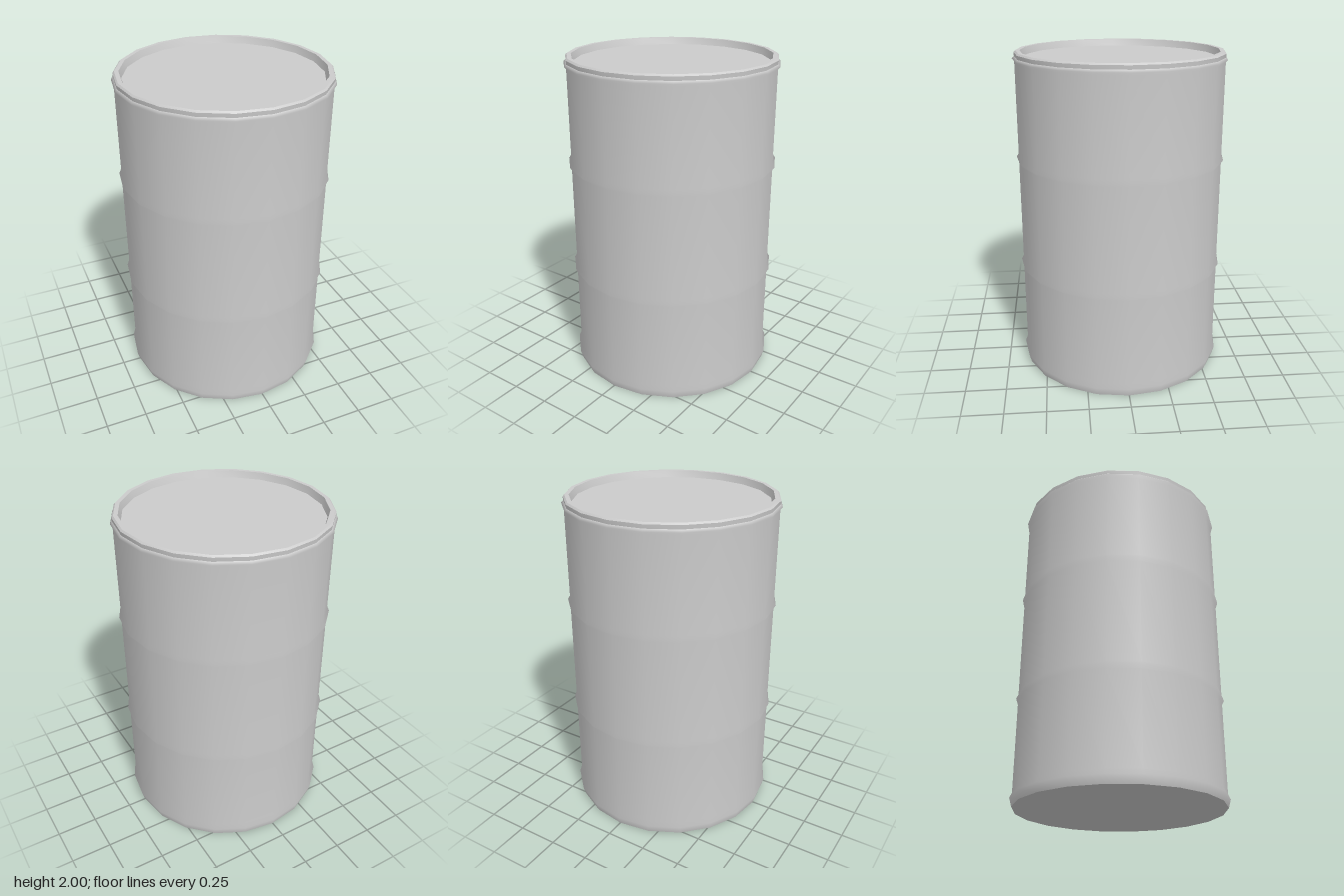
import * as THREE from 'three';
import { toCreasedNormals } from 'three/addons/utils/BufferGeometryUtils.js';

const SIDES = 20;
const RADIUS = 0.633;

const material = new THREE.MeshStandardMaterial({ color: 0xcccccc });

function addMesh(group, name, geometry) {
  const mesh = new THREE.Mesh(geometry, material);
  mesh.name = name;
  group.add(mesh);
  return mesh;
}

function lathe(points) {
  return new THREE.LatheGeometry(points.map(([r, y]) => new THREE.Vector2(r, y)), SIDES);
}

export function createModel() {
  const drum = new THREE.Group();
  drum.name = 'drum';

  // Shell: straight wall with a flared foot and three shallow rolled hoops
  const wall = [[RADIUS, 0], [0.647, 0.05], [RADIUS, 0.08]];
  for (const y of [0.66, 1.35, 1.953]) {
    const half = y > 1.9 ? 0.014 : 0.02;
    wall.push([RADIUS, y - half], [0.646, y], [RADIUS, y + half]);
  }
  addMesh(drum, 'shell', lathe(wall));

  // Rim: bevelled lip that drops inside to the lid
  const rim = lathe([
    [RADIUS, 1.967], [0.635, 1.99], [0.625, 2], [0.6, 2], [0.587, 1.958],
  ]);
  addMesh(drum, 'rim', toCreasedNormals(rim, 0.5));

  // Flat recessed lid and base
  const lid = addMesh(drum, 'lid', new THREE.CircleGeometry(0.587, SIDES));
  lid.rotation.x = -Math.PI / 2;
  lid.position.y = 1.958;

  const base = addMesh(drum, 'base', new THREE.CircleGeometry(RADIUS, SIDES));
  base.rotation.x = Math.PI / 2;

  return drum;
}
